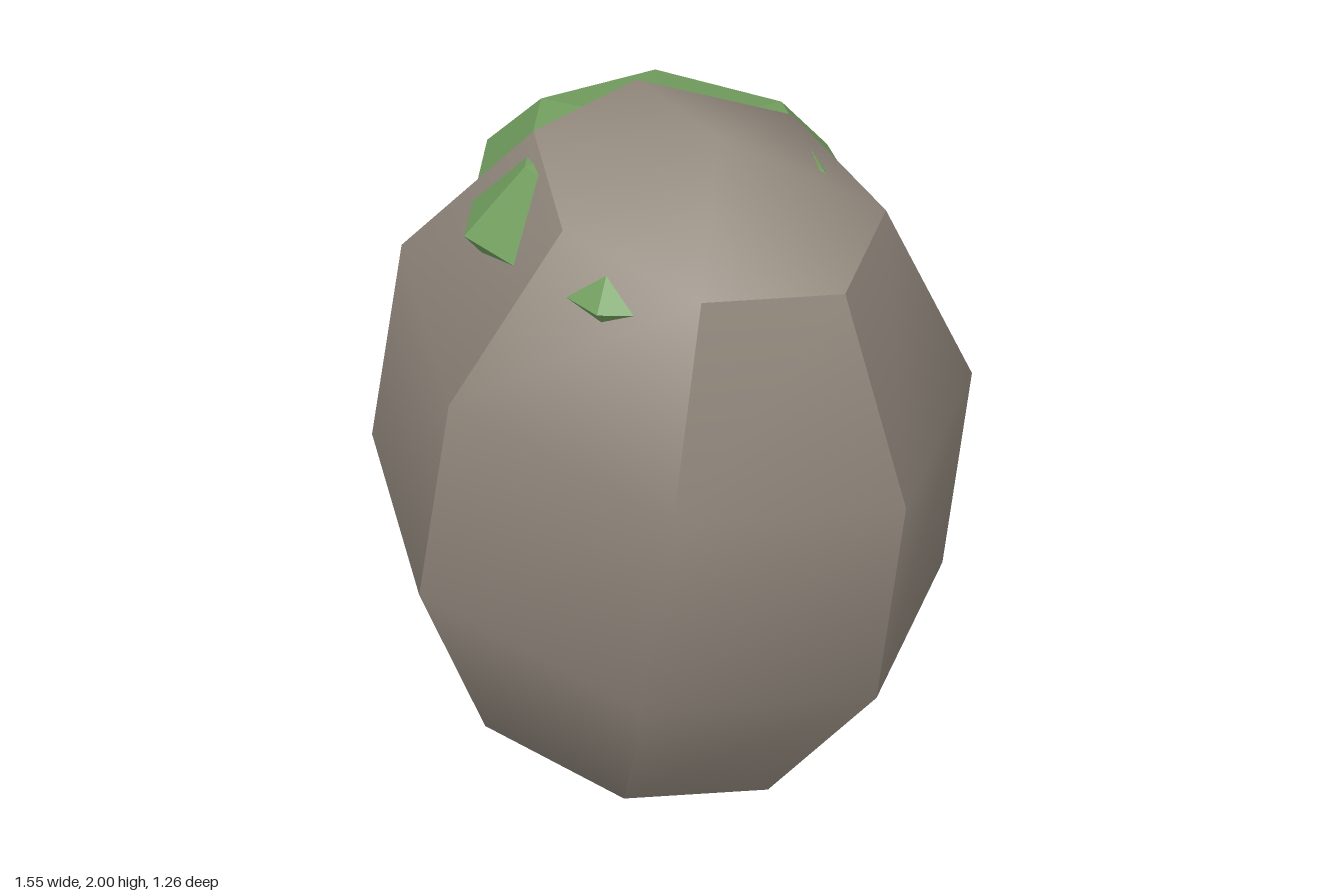
import * as THREE from 'three';

const SIDES = 7, ROWS = 5;

// Tilted ellipsoid boulder: some columns are hard-edged panels, the rest share one smooth shell.
function boulderGeometry() {
  const centre = new THREE.Vector3(-0.04, 1.0, -0.015);
  const axis = new THREE.Vector3(0.222, 1.0, 0.035);
  const u = new THREE.Vector3(0.78, -0.168, -0.09);
  const v = new THREE.Vector3(0.012, -0.024, 0.667);
  const positions = [], index = [], seen = new Map();

  // Vertices are shared only inside one smoothing group
  const vertex = (row, col, group) => {
    const pole = row === 0 || row === ROWS;
    const c = pole ? 0 : col % SIDES;
    const key = `${group}:${row}:${c}`;
    if (!seen.has(key)) {
      const theta = (row / ROWS) * Math.PI, phi = (c / SIDES) * Math.PI * 2;
      const p = centre.clone()
        .addScaledVector(axis, Math.cos(theta))
        .addScaledVector(u, Math.sin(theta) * Math.cos(phi))
        .addScaledVector(v, Math.sin(theta) * Math.sin(phi));
      seen.set(key, positions.length / 3);
      positions.push(p.x, p.y, p.z);
    }
    return seen.get(key);
  };

  for (let row = 0; row < ROWS; row++) {
    for (let col = 0; col < SIDES; col++) {
      const cap = row === 0 || row === ROWS - 1;
      const group = (r) =>
        cap || col === 1 || col === 5 || (col === 3 && r === ROWS - 1) ? 'shell' : `panel${col}`;
      const corner = (r, c) => vertex(r, c, group(r));
      const a = corner(row, col), b = corner(row + 1, col);
      const c = corner(row + 1, col + 1), d = corner(row, col + 1);
      if (row > 0) index.push(a, d, c);
      if (row < ROWS - 1) index.push(a, c, b);
      if (row === 0) index.push(a, c, b);
      // The bottom cap keeps only its a-d-c triangle, the top cap only a-c-b
    }
  }
  const geometry = new THREE.BufferGeometry();
  geometry.setAttribute('position', new THREE.Float32BufferAttribute(positions, 3));
  geometry.setIndex(index);
  geometry.computeVertexNormals();
  return geometry;
}

// Flattened seven-sided faceted clump that breaks through the upper sides of the boulder
function mossGeometry() {
  const geometry = new THREE.SphereGeometry(1, SIDES, 4)
    .rotateY(-Math.PI / 2)
    .scale(0.58, 0.257, 0.51)
    .translate(-0.04, 1.66, -0.02)
    .toNonIndexed();
  geometry.computeVertexNormals();
  return geometry;
}

export function createModel() {
  const stone = new THREE.MeshStandardMaterial({ color: 0x948a7f });
  stone.name = 'stone';
  const green = new THREE.MeshStandardMaterial({ color: 0x74a060 });
  green.name = 'mossGreen';

  const model = new THREE.Group();
  model.name = 'mossyBoulder';
  const boulder = new THREE.Mesh(boulderGeometry(), stone);
  boulder.name = 'boulder';
  const moss = new THREE.Mesh(mossGeometry(), green);
  moss.name = 'moss';
  model.add(boulder, moss);
  return model;
}
